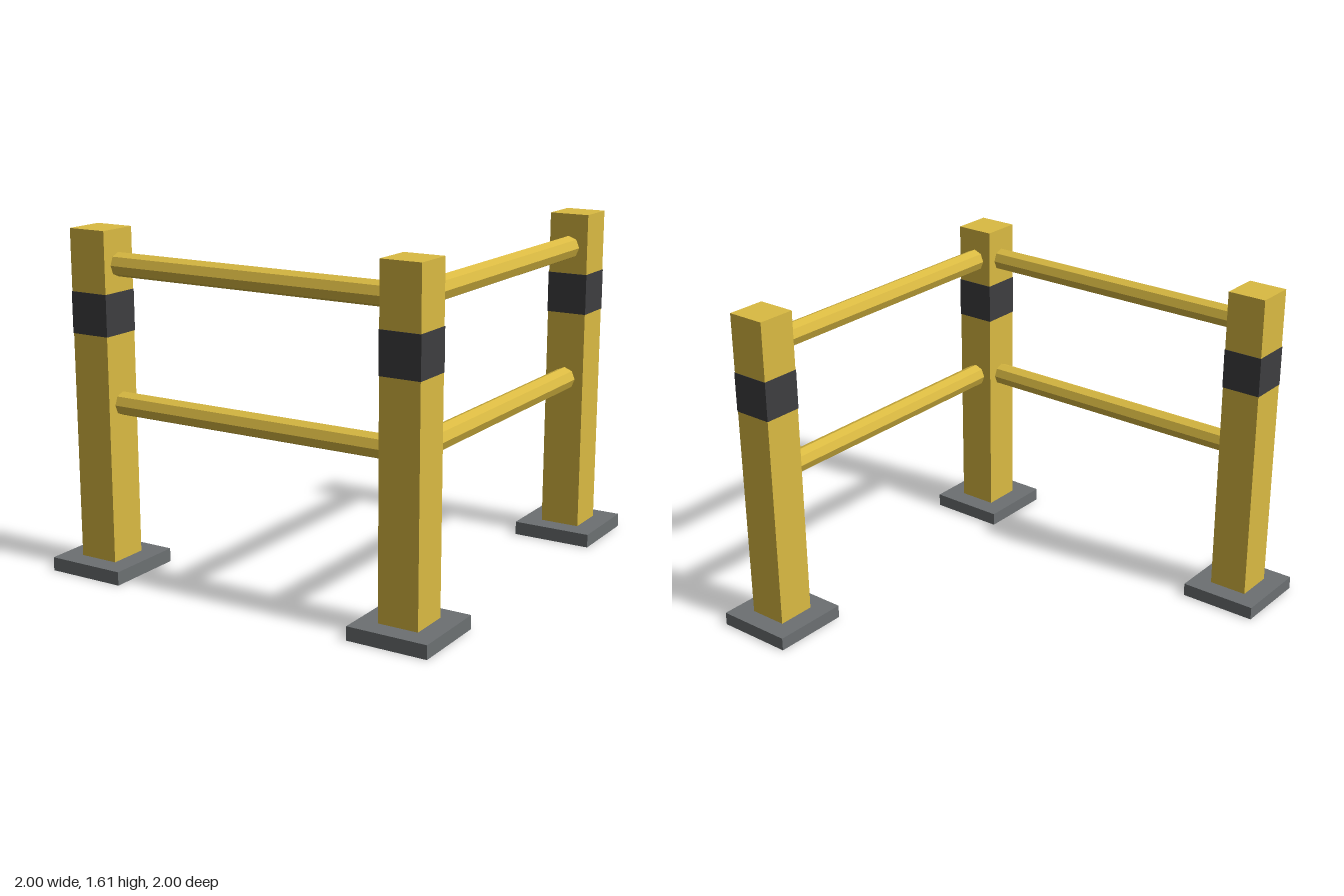
import * as THREE from 'three';

export function createModel() {
  const yellow = new THREE.MeshStandardMaterial({ color: 0xdaba42, flatShading: true });
  yellow.name = 'safety yellow';
  const black = new THREE.MeshStandardMaterial({ color: 0x3e3e40 });
  black.name = 'band black';
  const grey = new THREE.MeshStandardMaterial({ color: 0x6c7072 });
  grey.name = 'base grey';

  const model = new THREE.Group();
  model.name = 'cornerGuardRail';
  const add = (parent, name, geometry, material, x, y, z) => {
    const mesh = new THREE.Mesh(geometry, material);
    mesh.name = name;
    mesh.position.set(x, y, z);
    parent.add(mesh);
    return mesh;
  };

  const P = 0.8065; // post centre offset
  const postWidth = 0.1935;
  const postHeight = 1.613;
  const lift = 0.002; // keeps the post clear of the base underside

  // Posts with base plates and painted bands
  const baseGeometry = new THREE.BoxGeometry(0.387, 0.0645, 0.387);
  const postGeometry = new THREE.BoxGeometry(postWidth, postHeight - lift, postWidth);
  const bandGeometry = new THREE.BoxGeometry(0.1975, 0.1935, 0.1975);
  for (const [name, x, z] of [['rightPost', -P, P], ['cornerPost', P, P], ['backPost', P, -P]]) {
    const group = new THREE.Group();
    group.name = name;
    group.position.set(x, 0, z);
    add(group, 'basePlate', baseGeometry, grey, 0, 0.03225, 0);
    add(group, 'post', postGeometry, yellow, 0, (postHeight + lift) / 2, 0);
    add(group, 'band', bandGeometry, black, 0, 1.229, 0);
    model.add(group);
  }

  // Octagonal rails, two per side, running from post centre to post centre
  const railGeometry = new THREE.CylinderGeometry(0.0555, 0.0555, 2 * P, 8);
  for (const [level, y] of [['lower', 0.808], ['upper', 1.452]]) {
    add(model, level + 'FrontRail', railGeometry, yellow, 0, y, P).rotation.z = Math.PI / 2;
    add(model, level + 'SideRail', railGeometry, yellow, P, y, 0).rotation.x = Math.PI / 2;
  }

  return model;
}
